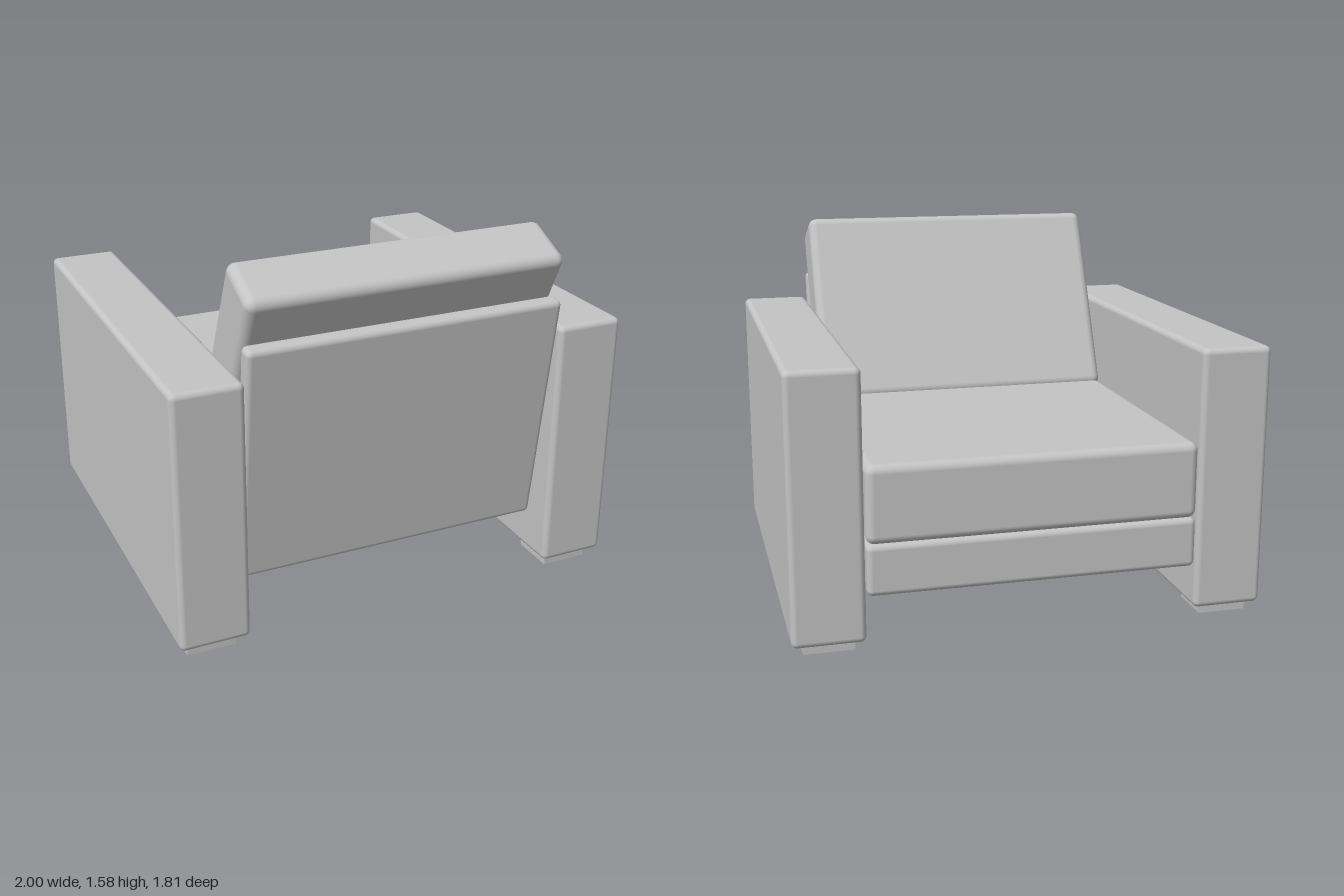
import * as THREE from 'three';
import { RoundedBoxGeometry } from 'three/addons/geometries/RoundedBoxGeometry.js';

export function createModel() {
  const group = new THREE.Group();
  group.name = 'armchair';
  const fabric = new THREE.MeshStandardMaterial({ color: 0xc4c4c4 });
  fabric.name = 'light grey';

  // Soft-edged block: size, centre, edge radius and backward tilt in degrees
  function block(name, size, pos, radius = 0.03, tilt = 0) {
    const geo = radius
      ? new RoundedBoxGeometry(...size, 5, radius)
      : new THREE.BoxGeometry(...size);
    const mesh = new THREE.Mesh(geo, fabric);
    mesh.name = name;
    mesh.position.set(...pos);
    mesh.rotation.x = THREE.MathUtils.degToRad(tilt);
    group.add(mesh);
  }

  // Arms, each standing on two square feet
  for (const [side, s] of [['left', 1], ['right', -1]]) {
    block(side + 'Arm', [0.3, 1.12, 1.8], [s * 0.85, 0.61, 0], 0.025);
    for (const [end, z] of [['Front', 0.755], ['Back', -0.74]]) {
      block(side + end + 'Foot', [0.21, 0.06, 0.195], [s * 0.85 - 0.005, 0.03, z], 0);
    }
  }

  // Seat, open towards -z
  block('seatBase', [1.39, 0.215, 1.59], [0, 0.3475, -0.105], 0.025);
  block('seatCushion', [1.39, 0.325, 1.63], [0, 0.6175, -0.09], 0.035);

  // Leaning back panel and the loose cushion resting on it
  block('backPanel', [1.39, 1.06, 0.075], [0, 0.77, 0.8], 0.025, 7.5);
  block('backCushion', [1.385, 0.905, 0.26], [0, 1.124, 0.611], 0.04, 25);

  return group;
}
